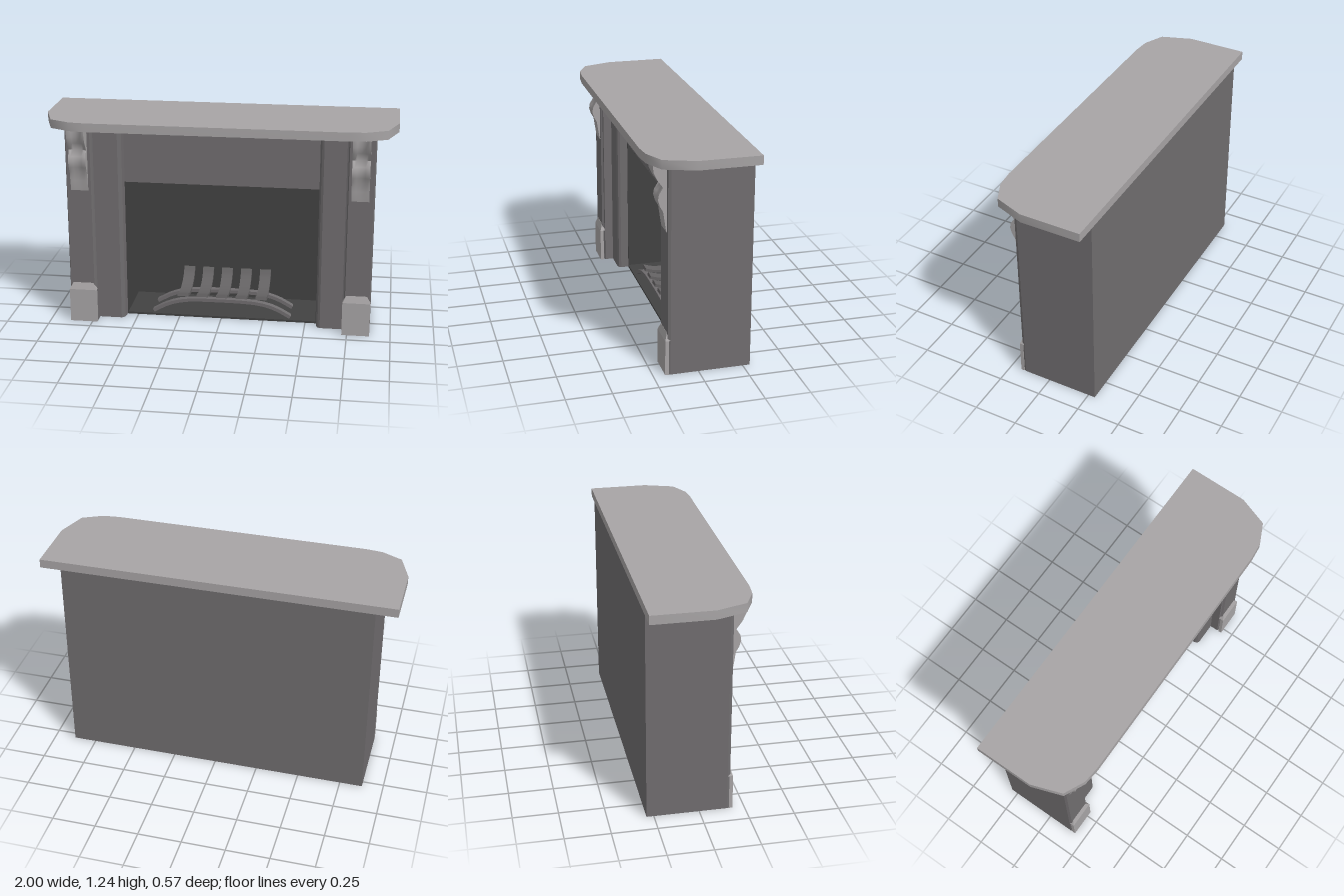
import * as THREE from 'three';
import { toCreasedNormals } from 'three/addons/utils/BufferGeometryUtils.js';

const paint = (color) => new THREE.MeshStandardMaterial({ color, side: THREE.DoubleSide });
const light = paint(0xa7a4a5);
const mid = paint(0x706d6f);
const slatGrey = paint(0x646263);
const soot = paint(0x424242);

function add(parent, name, geometry, material) {
  const mesh = new THREE.Mesh(geometry, material);
  mesh.name = name;
  parent.add(mesh);
  return mesh;
}

const toShape = (pts) => new THREE.Shape(pts.map(([x, y]) => new THREE.Vector2(x, y)));
const mirrored = (half) => [...half, ...half.map(([x, z]) => [-x, z]).reverse()];

// Prism standing on y0 from an outline of [x, z] points
function prism(outline, y0, height) {
  return new THREE.ExtrudeGeometry(toShape(outline.map(([x, z]) => [x, -z])), { depth: height, bevelEnabled: false })
    .rotateX(-Math.PI / 2)
    .translate(0, y0, 0);
}

function box(x0, x1, y0, y1, z0, z1) {
  return new THREE.BoxGeometry(x1 - x0, y1 - y0, z1 - z0)
    .translate((x0 + x1) / 2, (y0 + y1) / 2, (z0 + z1) / 2);
}

// Curved bar of constant thickness: a smooth path thickened upward along its normal, then extruded
function bar(points, thickness, width) {
  const curve = new THREE.CatmullRomCurve3(points.map(([a, b]) => new THREE.Vector3(a, b, 0)));
  const lower = [], upper = [];
  for (let i = 0; i <= 14; i++) {
    const p = curve.getPoint(i / 14), t = curve.getTangent(i / 14);
    lower.push([p.x, p.y]);
    upper.unshift([p.x - t.y * thickness, p.y + t.x * thickness]);
  }
  const geometry = new THREE.ExtrudeGeometry(toShape([...lower, ...upper]), { depth: width, bevelEnabled: false });
  return toCreasedNormals(geometry.translate(0, 0, -width / 2), 0.6);
}

// Scrolled bracket: rows follow the side profile, columns a cross-section with a shallow flute
function corbelGeometry() {
  const profile = [ // [front z, y]
    [0.245, 1.187], [0.24, 1.14], [0.222, 1.1], [0.19, 1.055], [0.212, 1.02], [0.217, 0.99],
    [0.207, 0.955], [0.19, 0.925], [0.182, 0.87], [0.176, 0.83], [0.172, 0.81],
  ];
  const section = [ // [x, share of depth]
    [-0.05, 0], [-0.05, 1], [-0.036, 1], [-0.024, 0.82], [0, 0.75], [0.024, 0.82], [0.036, 1], [0.05, 1], [0.05, 0],
  ];
  const base = 0.169;
  const geometry = new THREE.PlaneGeometry(1, 1, section.length - 1, profile.length - 1);
  const position = geometry.attributes.position;
  profile.forEach(([z, y], row) => section.forEach(([x, share], column) => {
    position.setXYZ(row * section.length + column, x, y, base + (z - base) * share);
  }));
  return toCreasedNormals(geometry, 1.1);
}

// Plinth top: a block tapering in at the sides and front
function plinthCapGeometry() {
  const cap = box(-0.08, 0.08, 0.2, 0.24, 0.155, 0.185);
  const p = cap.attributes.position;
  for (let i = 0; i < p.count; i++) {
    if (p.getY(i) > 0.22) p.setXYZ(i, p.getX(i) * 0.75, 0.24, Math.min(p.getZ(i), 0.171));
  }
  cap.computeVertexNormals();
  return cap;
}

export function createModel() {
  const model = new THREE.Group();
  model.name = 'fireplace';

  // Surround: jambs, stepped pilasters and thin back wall in one plan
  const halfPlan = [
    [0.565, -0.28], [0.565, 0.04], [0.57, 0.085], [0.577, 0.098], [0.59, 0.105], [0.72, 0.105],
    [0.72, 0.155], [0.728, 0.158], [0.734, 0.17], [0.874, 0.17], [0.88, 0.155], [0.88, -0.29],
  ];
  add(model, 'surround', prism(mirrored(halfPlan), 0, 1.187), mid);
  add(model, 'lintel', box(-0.565, 0.565, 0.83, 1.187, -0.28, 0.04), mid);

  // Dark firebox: floor, walls and ceiling
  const halfLining = [[0.562, -0.277], [0.562, 0.04], [0.565, 0.04], [0.565, -0.28]];
  add(model, 'hearth', box(-0.565, 0.565, 0, 0.012, -0.28, 0.04), soot);
  add(model, 'fireboxWalls', prism(mirrored(halfLining), 0.012, 0.818), soot);
  add(model, 'fireboxCeiling', box(-0.562, 0.562, 0.827, 0.83, -0.277, 0.038), soot);

  // Mantel shelf with clipped, rounded front corners
  const halfShelf = [[1, -0.29], [1, 0.05], [0.94, 0.22], [0.825, 0.275], [0.73, 0.285]];
  add(model, 'mantelShelf', toCreasedNormals(prism(mirrored(halfShelf), 1.187, 0.05), 0.9), light);

  // Plinth and corbel on each pilaster
  for (const side of [1, -1]) {
    const name = side > 0 ? 'left' : 'right';
    const x = side * 0.8;
    add(model, name + 'Plinth', box(-0.08, 0.08, 0, 0.2, 0.165, 0.185), light).position.x = x;
    add(model, name + 'PlinthCap', plinthCapGeometry(), light).position.x = x;
    add(model, name + 'Corbel', corbelGeometry(), light).position.x = x;
  }

  // Fire grate: two arched rails carrying five curved slats
  const grate = new THREE.Group();
  grate.name = 'grate';
  const arch = [[-0.405, 0.014], [-0.32, 0.06], [-0.22, 0.088], [0, 0.096], [0.22, 0.088], [0.32, 0.06], [0.405, 0.014]];
  for (const [name, z] of [['frontRail', 0.01], ['backRail', -0.14]]) {
    add(grate, name, bar(arch, 0.02, 0.035), mid).position.z = z;
  }
  const slatPath = [[-0.02, 0.122], [0.04, 0.105], [0.12, 0.104], [0.2, 0.128], [0.247, 0.163], [0.27, 0.2]];
  for (let i = -2; i <= 2; i++) {
    const slat = add(grate, 'slat', bar(slatPath, 0.018, 0.066).rotateY(Math.PI / 2), slatGrey);
    slat.position.x = i * 0.117;
  }
  model.add(grate);
  return model;
}
